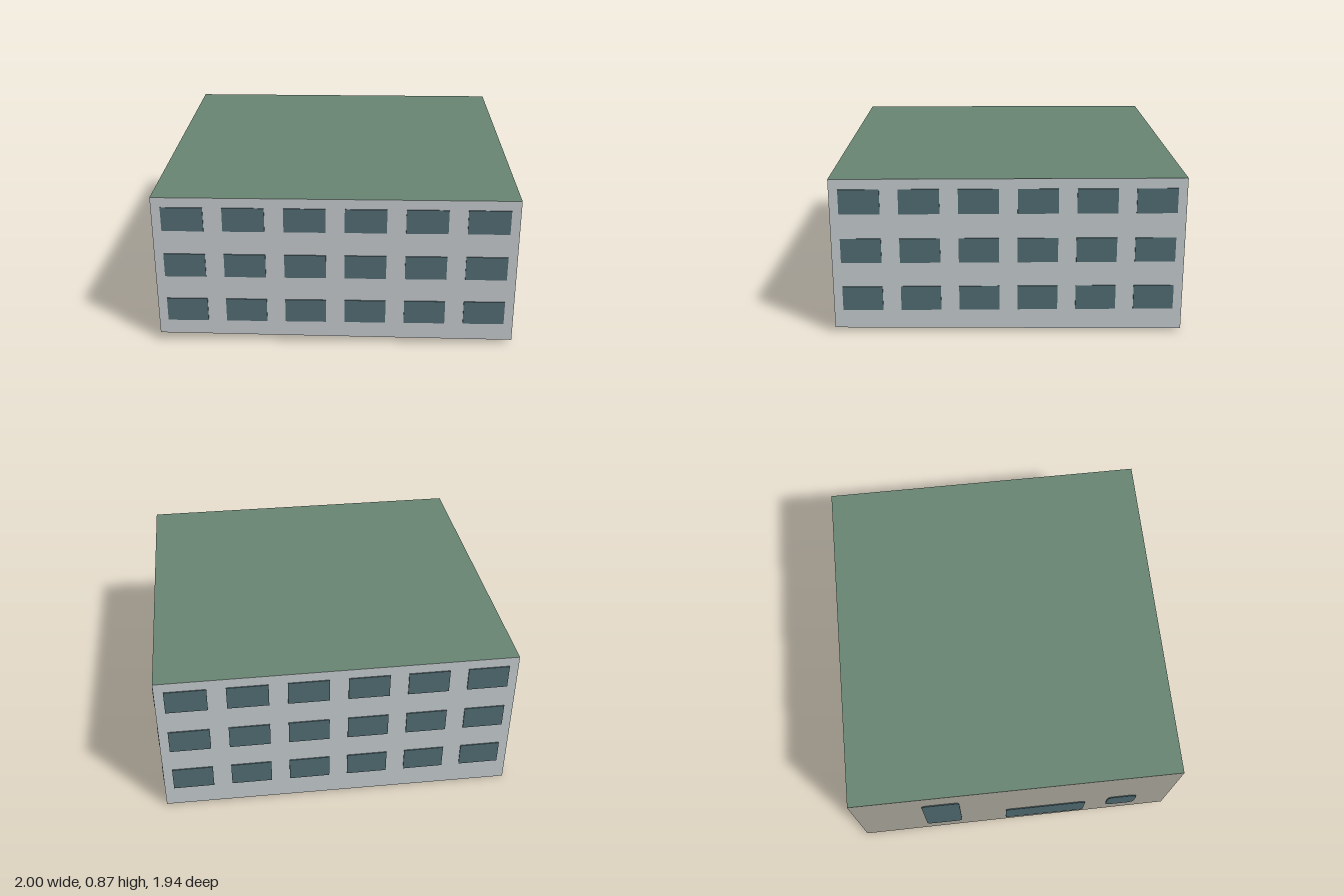
import * as THREE from 'three';

const WIDTH = 1.965, DEPTH = 1.893, TOP = 0.87, PLATE = 0.006;

function material(name, color) {
  const m = new THREE.MeshStandardMaterial({ color });
  m.name = name;
  return m;
}

// Box whose underside follows gently sloping ground
function bodyGeometry() {
  const g = new THREE.BoxGeometry(WIDTH, TOP, DEPTH);
  g.translate(0, TOP / 2, 0);
  const p = g.attributes.position;
  for (let i = 0; i < p.count; i++) {
    if (p.getY(i) > TOP / 2) continue;
    const sx = Math.sign(p.getX(i)), sz = Math.sign(p.getZ(i));
    p.setY(i, 0.0225 - 0.0015 * sx + 0.0165 * sz - 0.0075 * sx * sz);
  }
  g.computeVertexNormals();
  return g;
}

// Thin plate with rounded corners, spanning u0..u1 and y0..y1
function roundedPlate(u0, u1, y0, y1, r) {
  const s = new THREE.Shape();
  s.moveTo(u0 + r, y0);
  s.lineTo(u1 - r, y0);
  s.quadraticCurveTo(u1, y0, u1, y0 + r);
  s.lineTo(u1, y1 - r);
  s.quadraticCurveTo(u1, y1, u1 - r, y1);
  s.lineTo(u0 + r, y1);
  s.quadraticCurveTo(u0, y1, u0, y1 - r);
  s.lineTo(u0, y0 + r);
  s.quadraticCurveTo(u0, y0, u0 + r, y0);
  return new THREE.ExtrudeGeometry(s, { depth: PLATE, bevelEnabled: false, curveSegments: 4 });
}

// Three storeys of six windows, on a wall facing +z before turning
function windowWall(name, length, distance, turn, mat) {
  const wall = new THREE.Group();
  wall.name = name;
  wall.rotation.y = turn;
  const cell = length / 6;
  const pane = new THREE.BoxGeometry(cell * 0.688, 0.136, PLATE);
  for (let row = 0; row < 3; row++) {
    for (let col = 0; col < 6; col++) {
      const w = new THREE.Mesh(pane, mat);
      w.name = 'window';
      w.position.set((col - 2.5) * cell, 0.201 + row * 0.273, distance + PLATE / 2);
      wall.add(w);
    }
  }
  return wall;
}

export function createModel() {
  const wallMat = material('pale grey wall', 0xc0c6ca);
  const sideMat = material('beige wall', 0xa9a699);
  const roofMat = material('green roof', 0x688472);
  const glassMat = material('dark teal glass', 0x4f696f);

  const model = new THREE.Group();
  model.name = 'building';

  // The whole block stands slightly turned
  const block = new THREE.Group();
  block.name = 'block';
  block.rotation.y = -0.0165;
  model.add(block);

  // Walls, roof and underside: +x, -x, top, bottom, front, back
  const body = new THREE.Mesh(bodyGeometry(), [wallMat, sideMat, roofMat, wallMat, wallMat, wallMat]);
  body.name = 'body';
  block.add(body);

  // Windowed walls
  block.add(
    windowWall('frontWindows', WIDTH, DEPTH / 2, 0, glassMat),
    windowWall('backWindows', WIDTH, DEPTH / 2, Math.PI, glassMat),
    windowWall('sideWindows', DEPTH, WIDTH / 2, Math.PI / 2, glassMat)
  );

  // Irregular openings on the beige wall
  const beige = new THREE.Group();
  beige.name = 'beigeWallOpenings';
  beige.rotation.y = -Math.PI / 2;
  const openings = [
    ['tallWindow', 0.21, 0.325, 0.15, 0.69, 0.035],
    ['wideWindow', 0.47, 0.728, 0.095, 0.333, 0.025],
    ['smallWindow', 0.8, 0.894, 0.175, 0.375, 0.04],
  ];
  for (const [name, t0, t1, y0, y1, r] of openings) {
    const geo = roundedPlate((t0 - 0.5) * DEPTH, (t1 - 0.5) * DEPTH, y0, y1, r);
    const opening = new THREE.Mesh(geo, glassMat);
    opening.name = name;
    opening.position.z = WIDTH / 2;
    beige.add(opening);
  }
  block.add(beige);

  return model;
}
